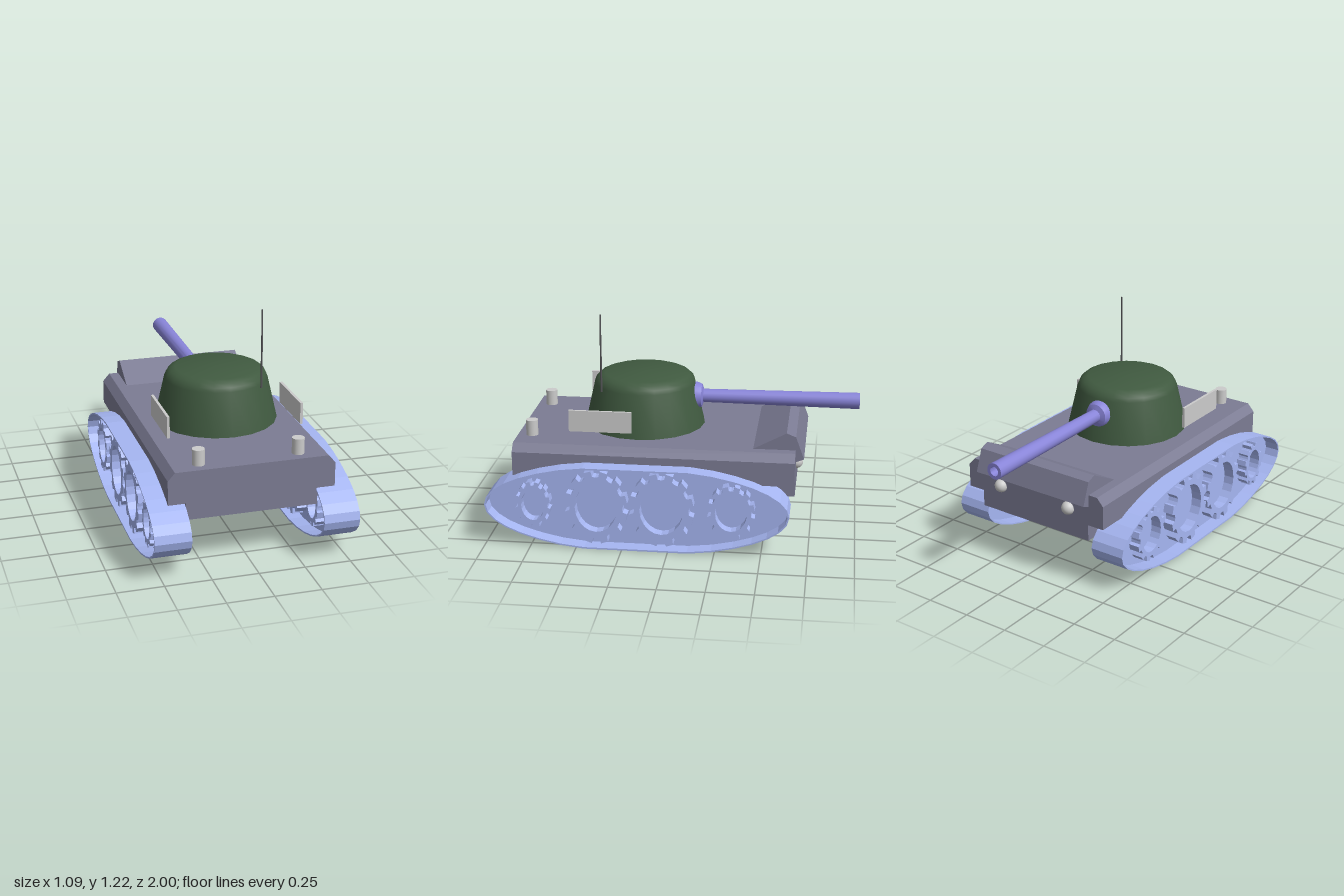
import * as THREE from 'three';
import { toCreasedNormals } from 'three/addons/utils/BufferGeometryUtils.js';

const mat = (color) => new THREE.MeshStandardMaterial({ color });
const HULL = mat(0x7c7c94), TRACK = mat(0xa6b6f2), TURRET = mat(0x405a40);
const GUN = mat(0x8884d8), DARK = mat(0x555558), GREY = mat(0xcccccc);

const pts = (list) => list.map(([x, y]) => new THREE.Vector2(x, y));

function add(parent, name, geometry, material, x = 0, y = 0, z = 0) {
  const mesh = new THREE.Mesh(geometry, material);
  mesh.name = name;
  mesh.position.set(x, y, z);
  parent.add(mesh);
  return mesh;
}

const extrude = (shape, depth) =>
  new THREE.ExtrudeGeometry(shape, { depth, bevelEnabled: false, curveSegments: 10 });

// Extrudes a side profile drawn in (-z, y) across x, centred on x = 0
function extrudeAcross(shape, width) {
  return extrude(shape, width).translate(0, 0, -width / 2).rotateY(Math.PI / 2);
}

const lathe = (profile, sides, crease) =>
  toCreasedNormals(new THREE.LatheGeometry(pts(profile), sides), crease);

// Track outline: an ellipse flattened along top and bottom
function trackOutline(inset) {
  const out = [];
  for (let i = 0; i < 36; i++) {
    const a = (i / 36) * Math.PI * 2;
    const flat = 0.232 - inset;
    const y = THREE.MathUtils.clamp((0.25 - inset) * Math.sin(a), -flat, flat);
    out.push([(0.824 - inset) * Math.cos(a), y]);
  }
  return pts(out);
}

// Oval toothed ring
function gearShape(rx, ry, teeth = 12) {
  const out = [];
  const step = (Math.PI * 2) / teeth;
  for (let i = 0; i < teeth; i++) {
    for (const [f, r] of [[0.0, 0.83], [0.22, 0.85], [0.28, 1], [0.72, 1], [0.78, 0.85]]) {
      const a = (i + f) * step;
      out.push([rx * r * Math.cos(a), ry * r * Math.sin(a)]);
    }
  }
  const shape = new THREE.Shape(pts(out));
  const hole = new THREE.Path();
  hole.absellipse(0, 0, rx * 0.67, ry * 0.67, 0, Math.PI * 2, true);
  shape.holes.push(hole);
  return shape;
}

function makeTrack(name) {
  const track = new THREE.Group();
  track.name = name;
  // Thin outer band and the web in its middle
  const band = new THREE.Shape(trackOutline(0));
  band.holes.push(new THREE.Path(trackOutline(0.009)));
  add(track, 'trackBand', extrudeAcross(band, 0.195), TRACK, 0, 0.234, 0.175);
  add(track, 'trackWeb', extrudeAcross(new THREE.Shape(trackOutline(0.005)), 0.03), TRACK, 0, 0.234, 0.175);
  // Toothed road wheels
  const wheels = [[0.735, 0.096, 0.133], [0.39, 0.172, 0.21], [0.036, 0.176, 0.21], [-0.338, 0.128, 0.155]];
  for (const [z, rx, ry] of wheels) {
    add(track, 'toothedWheel', extrudeAcross(gearShape(rx, ry), 0.15), TRACK, 0, 0.235, z);
  }
  return track;
}

export function createModel() {
  const model = new THREE.Group();
  model.name = 'tank';

  // Hull: cross-section run along z
  const section = new THREE.Shape(pts([
    [-0.353, 0.284], [0.353, 0.284], [0.353, 0.376], [0.448, 0.376],
    [0.448, 0.508], [0.41, 0.551], [-0.41, 0.551], [-0.448, 0.508],
    [-0.448, 0.376], [-0.353, 0.376],
  ]));
  add(model, 'hull', extrude(section, 1.525), HULL, 0.006, 0, -0.668);

  // Sloped plate on the gun end
  const wedge = new THREE.Shape(pts([
    [0.435, 0.548], [0.62, 0.548], [0.65, 0.475], [0.713, 0.502], [0.668, 0.625], [0.618, 0.645],
  ]));
  add(model, 'slopedPlate', extrudeAcross(wedge, 0.715), HULL, 0.007);

  // Tracks
  const left = makeTrack('leftTrack');
  left.position.x = 0.448;
  const right = makeTrack('rightTrack');
  right.position.x = -0.451;
  model.add(left, right);

  // Turret
  const dome = [[0, 0.565], [0.335, 0.565], [0.281, 0.8], [0.272, 0.822], [0.252, 0.842], [0.222, 0.854], [0, 0.855]];
  add(model, 'turret', lathe(dome, 20, 0.9), TURRET, 0.005, 0, 0.19);

  // Gun with mounting collar and open muzzle
  const barrel = [
    [0, 0.05], [0.075, 0.05], [0.075, 0.1], [0.064, 0.128], [0.037, 0.137],
    [0.045, 1.0], [0.026, 1.0], [0.024, 0.85], [0, 0.85],
  ];
  add(model, 'gun', lathe(barrel, 20, 0.5).rotateX(-Math.PI / 2), GUN, -0.005, 0.72, 0);

  // Antenna
  add(model, 'antenna', new THREE.CylinderGeometry(0.004, 0.006, 0.435, 8), DARK, 0.195, 1.0025, 0.405);

  // Paired fittings: side plates, rear posts, lamps
  for (const s of [-1, 1]) {
    add(model, 'sidePlate', new THREE.BoxGeometry(0.015, 0.118, 0.34), GREY, 0.007 + s * 0.365, 0.673, 0.385);
    add(model, 'rearPost', new THREE.CylinderGeometry(0.033, 0.033, 0.09, 20), GREY, 0.007 + s * 0.268, 0.592, 0.78);
    add(model, 'lamp', new THREE.SphereGeometry(0.037, 20, 14), GREY, 0.007 + s * 0.225, 0.44, -0.668);
  }
  return model;
}
